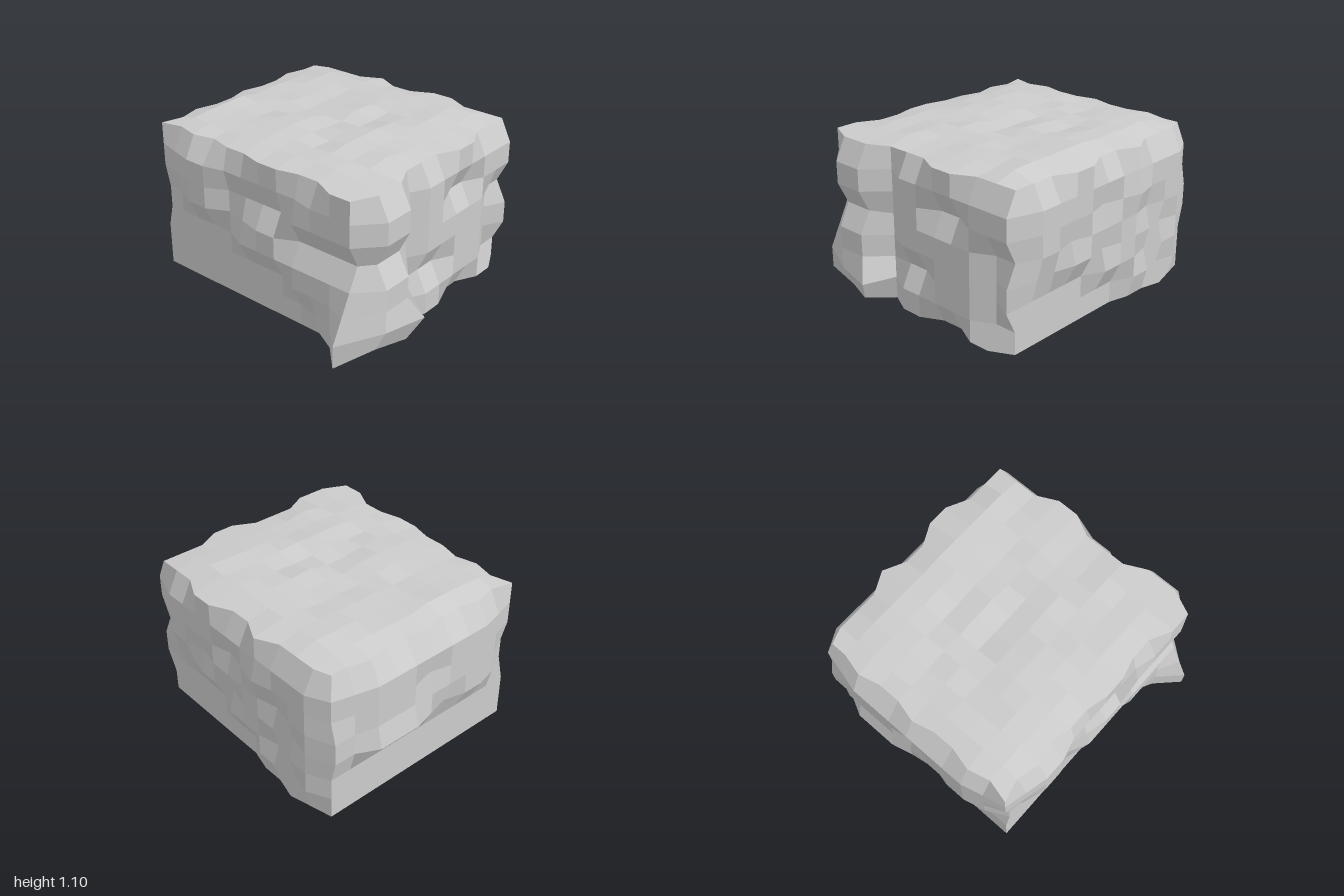
import * as THREE from 'three';

const NX = 11, NY = 7, NZ = 10;      // cells along each axis
const CELL = 0.15, STEP = 0.0375;    // cell size, bump unit
const X0 = -0.88, Z0 = -0.8;

// Outward bumps of each wall in units of STEP, top row first ('-' is one unit inward).
// Front and back run from -x to +x, the side walls from back to front.
const bumps = {
  front: ['0-0-00110022', '012211111222', '012200002222', '002201220000',
    '000002222222', '000000002224', '000000000126', '000000000026'],
  back: ['-00020022000', '022222222220', '022232122220', '022122221220',
    '021222122110', '022122200000', '021220000000', '012110000000'],
  right: ['00022000220', '22222220440', '22200220440', '00222220220',
    '20222220440', '20222000440', '00222220640', '02200220420'],
  left: ['--0--0--0-0', '01222222210', '01222122210', '1122222221-',
    '1133321221-', '00000000000', '00000000000', '00000000000'],
};

function bump(wall, n, j) {
  const c = bumps[wall][NY - j][n];
  return (c === '-' ? -1 : Number(c)) * STEP;
}

// Repeatable value from 0 to 1 for the uneven top
function hash(i, k) {
  const s = Math.sin(i * 127.1 + k * 311.7) * 43758.5453;
  return s - Math.floor(s);
}

// Position of a surface grid point
function point(i, j, k) {
  const p = new THREE.Vector3(X0 + i * CELL, j * CELL, Z0 + k * CELL);
  if (i === 0) p.x -= bump('left', k, j);
  if (i === NX) p.x += bump('right', k, j);
  if (k === 0) p.z -= bump('back', i, j);
  if (k === NZ) p.z += bump('front', i, j);
  // The bulging corner column leans forward, with one knob low at its rear
  if (i === NX && k === 9) p.z += 0.06;
  if (i === NX && k === 8 && j === 1) p.z -= 0.08;
  // Gentle lumps on top, inside a level rim
  const inside = i > 0 && i < NX && k > 0 && k < NZ;
  if (j === NY && inside) p.y += 0.01 + 0.04 * hash(i, k);
  return p;
}

// One side from a grid of points, every four-cornered facet evenly shaded
function patch(name, nu, nv, at, material) {
  const pos = [], nor = [];
  for (let u = 0; u < nu; u++) {
    for (let v = 0; v < nv; v++) {
      const a = at(u, v), b = at(u + 1, v), c = at(u + 1, v + 1), d = at(u, v + 1);
      const normal = c.clone().sub(a).cross(d.clone().sub(b)).normalize();
      for (const p of [a, b, c, a, c, d]) {
        pos.push(p.x, p.y, p.z);
        nor.push(normal.x, normal.y, normal.z);
      }
    }
  }
  const geometry = new THREE.BufferGeometry();
  geometry.setAttribute('position', new THREE.Float32BufferAttribute(pos, 3));
  geometry.setAttribute('normal', new THREE.Float32BufferAttribute(nor, 3));
  const mesh = new THREE.Mesh(geometry, material);
  mesh.name = name;
  return mesh;
}

export function createModel() {
  const group = new THREE.Group();
  group.name = 'rockBlock';
  const stone = new THREE.MeshStandardMaterial({ color: 0xcccccc });
  group.add(
    patch('frontWall', NX, NY, (u, v) => point(u, v, NZ), stone),
    patch('backWall', NX, NY, (u, v) => point(NX - u, v, 0), stone),
    patch('rightWall', NZ, NY, (u, v) => point(NX, v, NZ - u), stone),
    patch('leftWall', NZ, NY, (u, v) => point(0, v, u), stone),
    patch('topSurface', NX, NZ, (u, v) => point(u, NY, NZ - v), stone),
    patch('base', NX, NZ, (u, v) => point(u, 0, v), stone),
  );
  return group;
}
